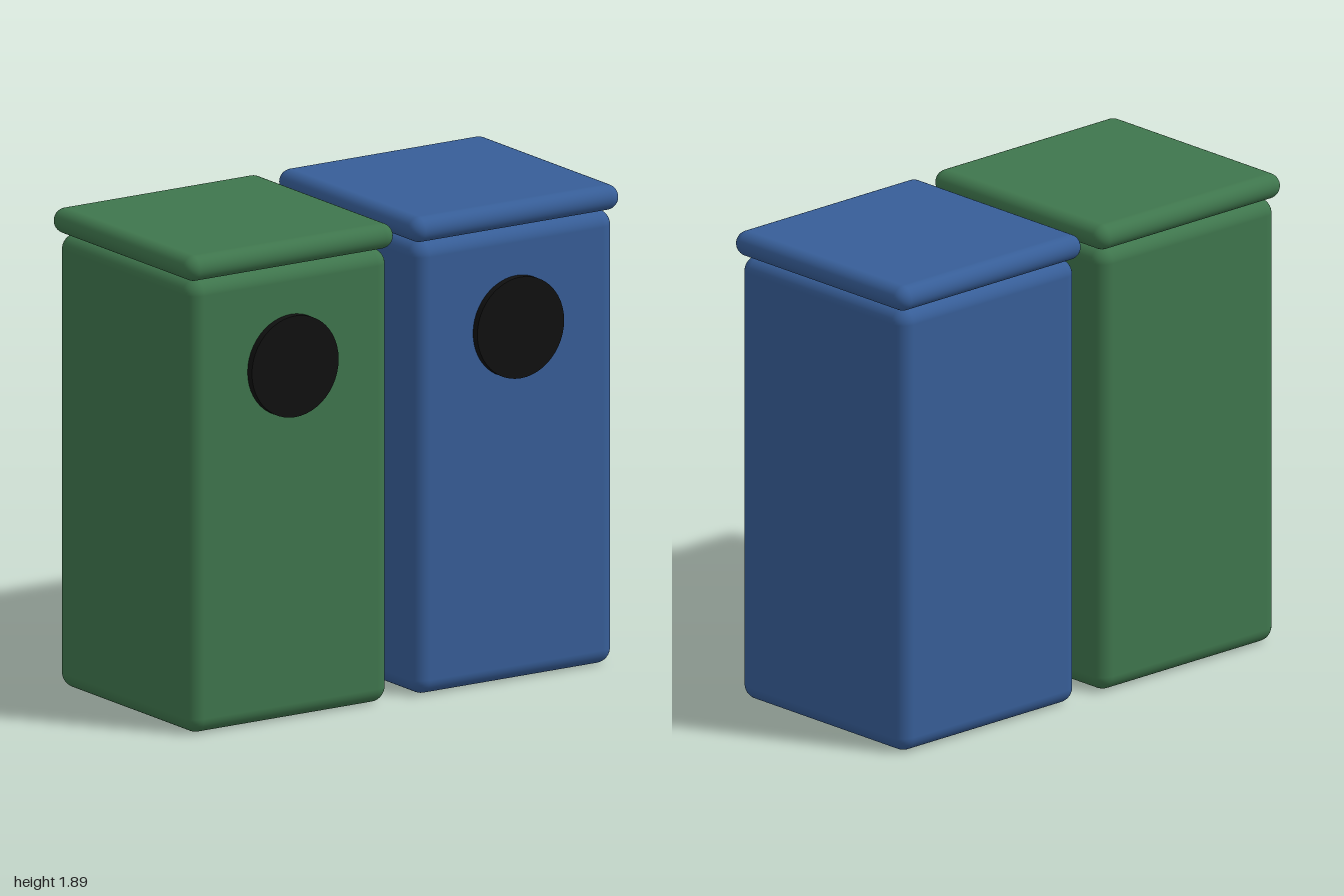
import * as THREE from 'three';
import { RoundedBoxGeometry } from 'three/addons/geometries/RoundedBoxGeometry.js';

function material(name, color) {
  const m = new THREE.MeshStandardMaterial({ color });
  m.name = name;
  return m;
}

function addPart(parent, name, geometry, mat, x, y, z) {
  const mesh = new THREE.Mesh(geometry, mat);
  mesh.name = name;
  mesh.position.set(x, y, z);
  parent.add(mesh);
}

export function createModel() {
  const model = new THREE.Group();
  model.name = 'recyclingBins';

  const black = material('black', 0x111111);
  const green = material('green', 0x3f764d);
  const blue = material('blue', 0x375e98);

  // Shared shapes: softened body, fully rounded lid rim, round opening
  const bodyGeometry = new RoundedBoxGeometry(0.92, 1.79, 0.92, 5, 0.06);
  const lidGeometry = new RoundedBoxGeometry(0.96, 0.1, 0.96, 5, 0.05);
  const openingGeometry = new THREE.CylinderGeometry(0.2, 0.2, 0.04, 48).rotateX(Math.PI / 2);

  // Two matching bins side by side
  for (const [name, x, mat] of [['greenBin', -0.52, green], ['blueBin', 0.52, blue]]) {
    const bin = new THREE.Group();
    bin.name = name;
    bin.position.x = x;
    addPart(bin, 'body', bodyGeometry, mat, 0, 0.895, -0.005);
    addPart(bin, 'lid', lidGeometry, mat, 0, 1.84, -0.005);
    addPart(bin, 'opening', openingGeometry, black, 0, 1.4, 0.465);
    model.add(bin);
  }
  return model;
}
